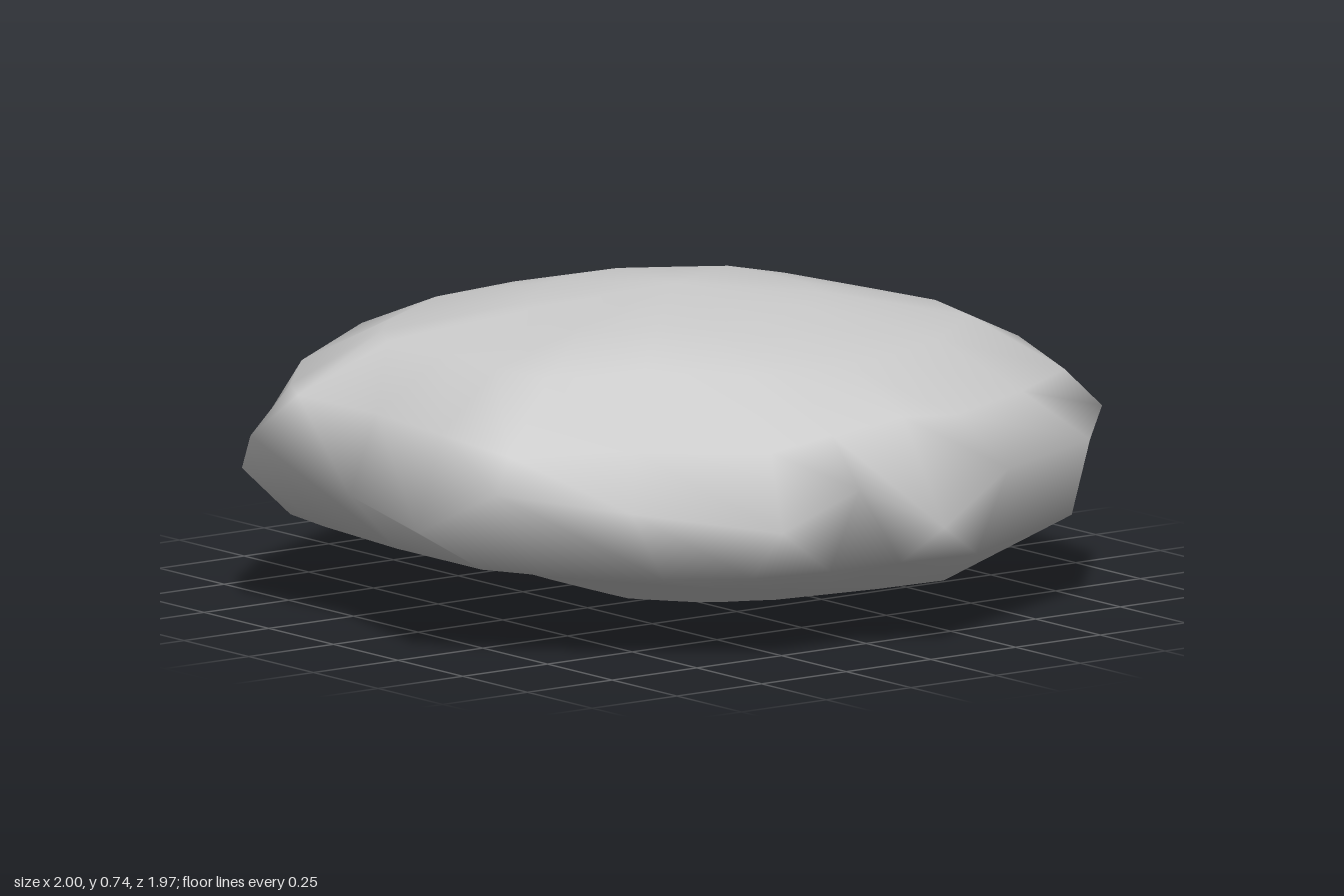
import * as THREE from 'three';

// Rim of the stone, counted round from the left side towards the front: x, y, z
const rim = [
  [1, 0.31, -0.04], [0.96, 0.42, 0.18], [0.91, 0.33, 0.37], [0.63, 0.36, 0.6],
  [0.54, 0.43, 0.93], [0.3, 0.31, 0.98], [-0.08, 0.33, 0.89], [-0.36, 0.44, 0.97],
  [-0.55, 0.32, 0.85], [-0.68, 0.4, 0.68], [-0.87, 0.4, 0.32], [-0.93, 0.42, -0.05],
  [-1, 0.32, -0.26], [-0.78, 0.36, -0.6], [-0.52, 0.42, -0.88], [-0.12, 0.33, -0.99],
  [0.28, 0.39, -0.95], [0.47, 0.42, -0.91], [0.79, 0.42, -0.63], [0.96, 0.42, -0.26],
];

// Upper shoulder, with the two dents at the front: x, y, z
const shoulder = [
  [0.84, 0.55, -0.04], [0.84, 0.53, 0.17], [0.8, 0.5, 0.32], [0.55, 0.49, 0.53],
  [0.47, 0.5, 0.84], [0.23, 0.52, 0.86], [-0.07, 0.52, 0.82], [-0.32, 0.53, 0.86],
  [-0.48, 0.52, 0.76], [-0.62, 0.54, 0.62], [-0.82, 0.56, 0.29], [-0.87, 0.56, -0.05],
  [-0.86, 0.54, -0.23], [-0.67, 0.54, -0.52], [-0.48, 0.56, -0.8], [-0.11, 0.51, -0.86],
  [0.16, 0.54, -0.9], [0.43, 0.51, -0.83], [0.67, 0.53, -0.52], [0.81, 0.53, -0.22],
];

// Lower edge, where the side turns under: x, y, z
const lowerEdge = [
  [0.83, 0.2, -0.04], [0.82, 0.2, 0.16], [0.78, 0.2, 0.36], [0.66, 0.2, 0.53],
  [0.48, 0.21, 0.75], [0.26, 0.19, 0.76], [-0.07, 0.19, 0.76], [-0.35, 0.2, 0.76],
  [-0.52, 0.2, 0.73], [-0.65, 0.2, 0.62], [-0.84, 0.19, 0.3], [-0.83, 0.18, -0.04],
  [-0.84, 0.19, -0.25], [-0.68, 0.18, -0.54], [-0.43, 0.13, -0.87], [-0.15, 0.14, -0.83],
  [0.24, 0.16, -0.81], [0.45, 0.2, -0.81], [0.68, 0.22, -0.66], [0.85, 0.2, -0.25],
];

// A ring drawn in from another one, with its height given by a rule
const inset = (ring, scale, height) =>
  ring.map(([x, , z]) => [x * scale, height(x * scale, z * scale), z * scale]);

// Skins closed rings from top to bottom and caps both ends with a point
function skin(rings, top, bottom) {
  const n = rings[0].length;
  const points = [...rings.flat(), top, bottom];
  const topId = points.length - 2, bottomId = points.length - 1;
  const index = [];
  for (let i = 0; i < n; i++) {
    const j = (i + 1) % n;
    index.push(topId, j, i);
    for (let r = 0; r < rings.length - 1; r++) {
      const a = r * n + i, b = r * n + j;
      index.push(a, b, a + n, b, b + n, a + n);
    }
    const last = (rings.length - 1) * n;
    index.push(bottomId, last + i, last + j);
  }
  const geometry = new THREE.BufferGeometry();
  geometry.setAttribute('position', new THREE.Float32BufferAttribute(points.flat(), 3));
  geometry.setIndex(index);
  geometry.computeVertexNormals();
  return geometry;
}

export function createModel() {
  const group = new THREE.Group();
  group.name = 'flatStone';

  const rings = [
    // domed top
    inset(shoulder, 0.38, (x, z) => 0.71 - 0.03 * x - 0.03 * z),
    inset(shoulder, 0.76, () => 0.645),
    shoulder,
    rim,
    // underside, deeper towards the back
    lowerEdge,
    inset(lowerEdge, 0.68, (x, z) => 0.09 + 0.1 * z + 0.02 * x),
    inset(lowerEdge, 0.34, (x, z) => 0.03 + 0.07 * z),
  ];
  const material = new THREE.MeshStandardMaterial({ color: 0xcccccc });
  const stone = new THREE.Mesh(skin(rings, [-0.05, 0.735, -0.05], [-0.04, 0, -0.12]), material);
  stone.name = 'stone';
  group.add(stone);
  return group;
}
